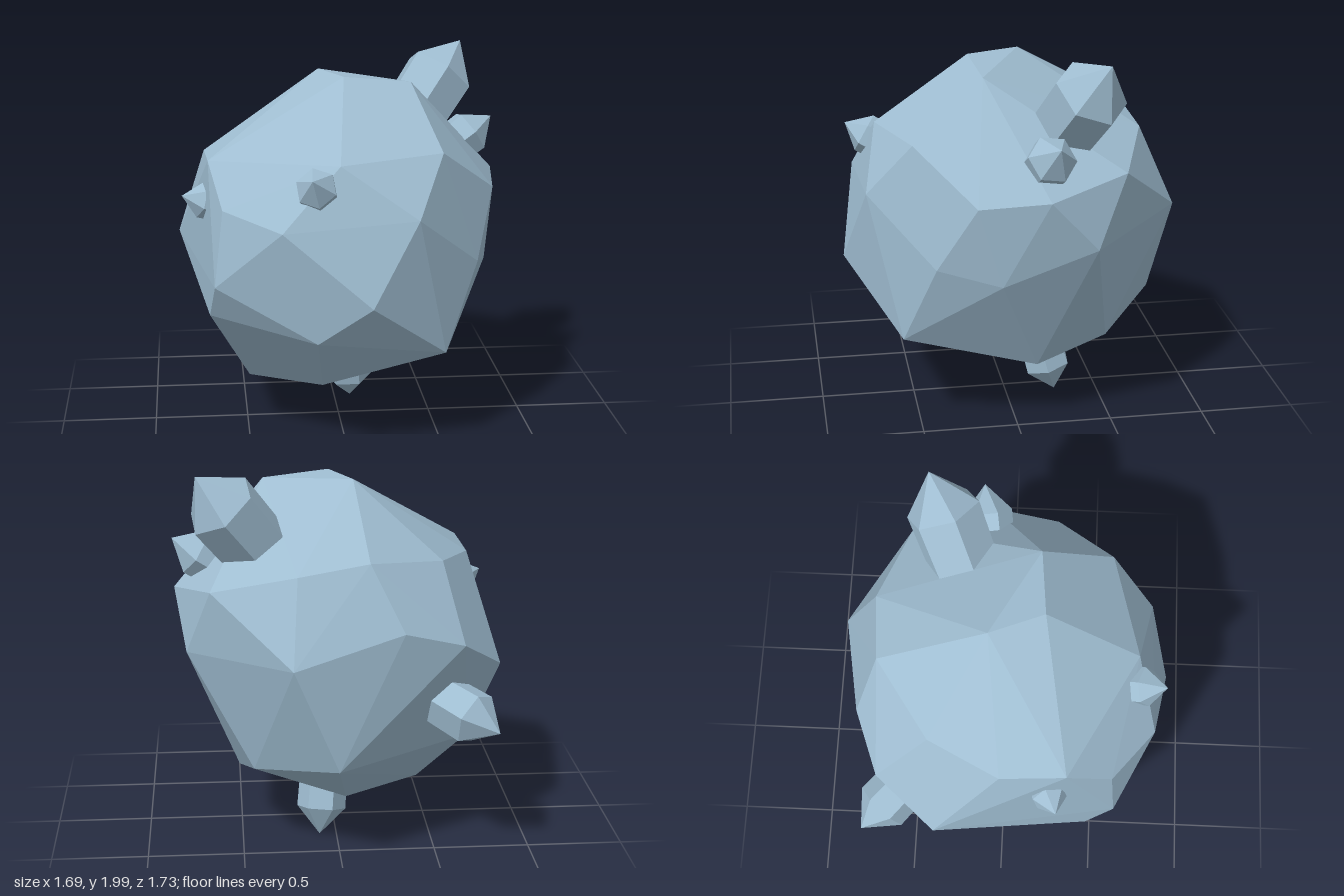
import * as THREE from 'three';
import { ConvexGeometry } from 'three/addons/geometries/ConvexGeometry.js';

const CENTER = new THREE.Vector3(0, 1.05, 0);

// Corners of the faceted boulder, from top to bottom
const CORNERS = [
  // crown
  [-0.10, 1.91, -0.09], [0.01, 1.91, 0.19], [0.36, 1.875, 0.16],
  // shoulder ring
  [0.48, 1.575, 0.53], [-0.05, 1.55, 0.675], [-0.695, 1.515, 0.325], [-0.71, 1.5, -0.01],
  [-0.535, 1.54, -0.375], [-0.14, 1.6, -0.65], [0.22, 1.545, -0.68], [0.65, 1.435, -0.525],
  [0.835, 1.36, -0.11], [0.785, 1.33, 0.245],
  // waist
  [0.335, 1.285, 0.755], [-0.345, 1.24, 0.78], [-0.63, 1.31, 0.56], [-0.62, 1.17, -0.65],
  [-0.305, 1.27, -0.765], [0.25, 1.12, -0.865], [0.775, 1.08, -0.36], [0.68, 0.985, 0.44],
  [-0.85, 0.98, -0.35], [-0.675, 0.92, 0.59], [0.77, 0.91, 0.12], [0.095, 0.87, 0.865],
  // lower ring
  [-0.70, 0.735, 0.45], [-0.17, 0.66, 0.75], [-0.68, 0.57, -0.31], [0.02, 0.565, -0.795],
  [0.5, 0.545, 0.595], [0.44, 0.475, -0.475],
  // base
  [0.51, 0.36, -0.10], [-0.12, 0.32, 0.405], [-0.49, 0.29, 0.12], [-0.45, 0.265, -0.10],
  [-0.05, 0.23, -0.29],
];

// Crystals: name, tip position, radius
const CRYSTALS = [
  ['largeCrystal', [0.71, 2.0, -0.42], 0.195],
  ['leftCrystal', [0.84, 1.63, -0.15], 0.125],
  ['frontCrystal', [-0.20, 1.51, 0.82], 0.105],
  ['rightCrystal', [-0.83, 1.325, 0.28], 0.092],
  ['backCrystal', [-0.79, 0.735, -0.75], 0.145],
  ['bottomCrystal', [0.09, 0.01, -0.27], 0.13],
];

// Six-sided prism with a pointed cap; its tip sits at the local origin, pointing +y
function crystalGeometry(radius) {
  const cap = radius * 1.12;
  const profile = [
    new THREE.Vector2(0, -cap - radius * 2.1),
    new THREE.Vector2(radius * 0.95, -cap - radius * 2.1),
    new THREE.Vector2(radius, -cap),
    new THREE.Vector2(0, 0),
  ];
  const geometry = new THREE.LatheGeometry(profile, 6).toNonIndexed();
  geometry.computeVertexNormals();
  return geometry;
}

export function createModel() {
  const group = new THREE.Group();
  group.name = 'crystalBoulder';
  const stone = new THREE.MeshStandardMaterial({ color: 0x9fbdd1, flatShading: true });
  stone.name = 'paleBlueStone';

  // Boulder
  const boulder = new THREE.Mesh(
    new ConvexGeometry(CORNERS.map((p) => new THREE.Vector3(...p))), stone);
  boulder.name = 'boulder';
  group.add(boulder);

  // Crystals growing straight out of the boulder
  const up = new THREE.Vector3(0, 1, 0);
  for (const [name, tip, radius] of CRYSTALS) {
    const crystal = new THREE.Mesh(crystalGeometry(radius), stone);
    crystal.name = name;
    crystal.position.set(...tip);
    const axis = crystal.position.clone().sub(CENTER).normalize();
    crystal.quaternion.setFromUnitVectors(up, axis);
    group.add(crystal);
  }
  return group;
}
